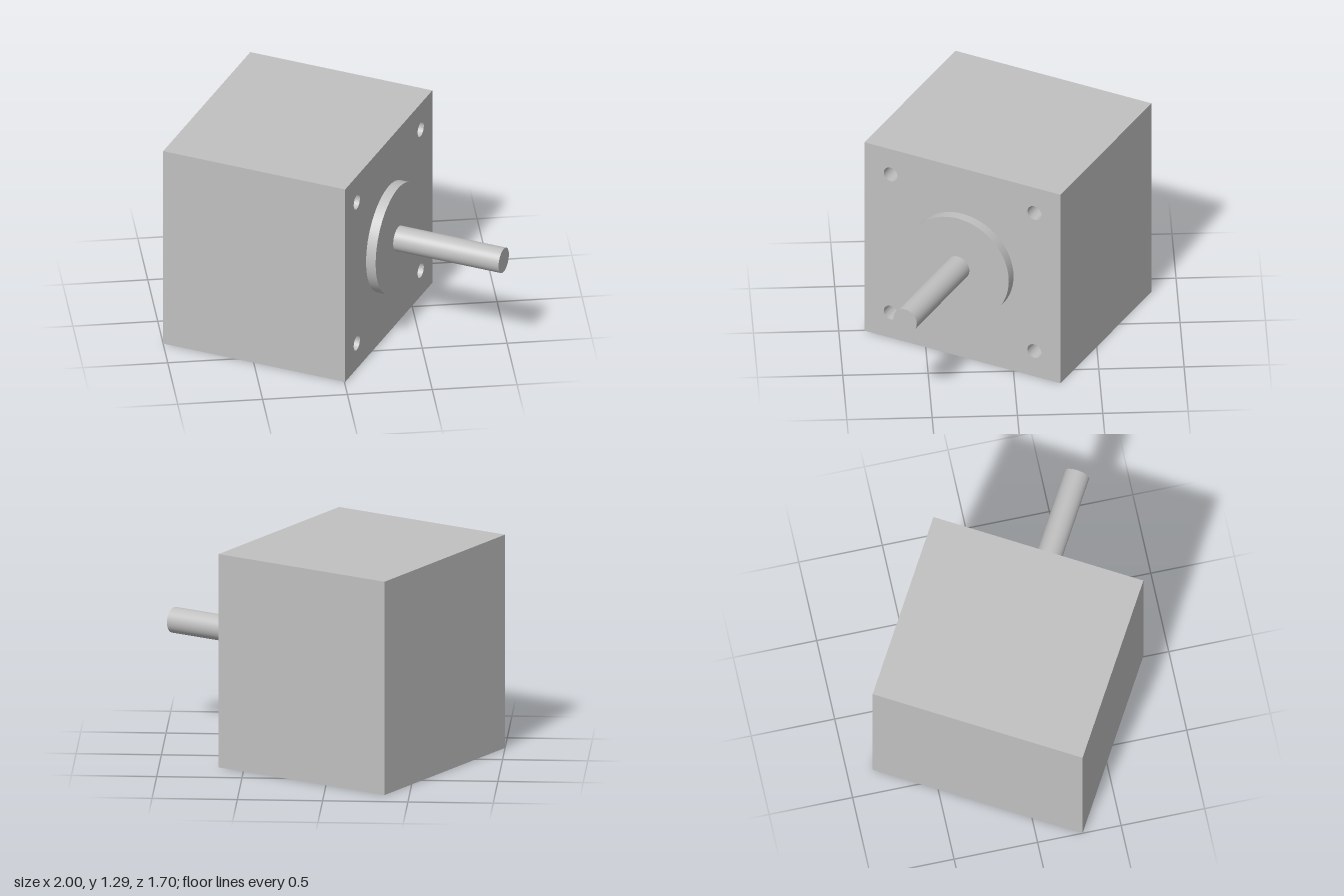
import * as THREE from 'three';
import { toCreasedNormals } from 'three/addons/utils/BufferGeometryUtils.js';

const S = 0.030526; // units per millimetre
const FACE = 42.3 * S, DEPTH = 38 * S;
const HOLE_DEPTH = 4.5 * S, HOLE_RADIUS = 1.5 * S, HOLE_OFFSET = 15.5 * S;

export function createModel() {
  const steel = new THREE.MeshStandardMaterial({ color: 0xc0c0c0 });
  steel.name = 'light grey steel';

  const model = new THREE.Group();
  model.name = 'stepperMotor';

  // The motor is built along +z, then turned about the vertical axis
  const add = (name, geometry, z) => {
    const mesh = new THREE.Mesh(geometry, steel);
    mesh.name = name;
    mesh.position.z = z;
    model.add(mesh);
  };
  const front = DEPTH / 2;

  // Solid rear of the housing
  const rearDepth = DEPTH - HOLE_DEPTH;
  add('housing', new THREE.BoxGeometry(FACE, FACE, rearDepth), -HOLE_DEPTH / 2);

  // Front plate with four blind mounting holes
  const h = FACE / 2;
  const plate = new THREE.Shape([[-h, -h], [h, -h], [h, h], [-h, h]].map(([x, y]) => new THREE.Vector2(x, y)));
  for (const sx of [-1, 1]) for (const sy of [-1, 1]) {
    const hole = new THREE.Path();
    hole.absarc(sx * HOLE_OFFSET, sy * HOLE_OFFSET, HOLE_RADIUS, 0, Math.PI * 2, true);
    plate.holes.push(hole);
  }
  const plateGeometry = new THREE.ExtrudeGeometry(plate, { depth: HOLE_DEPTH, bevelEnabled: false, curveSegments: 24 });
  add('frontPlate', toCreasedNormals(plateGeometry, 0.6), front - HOLE_DEPTH);

  // Raised pilot boss and output shaft, both starting at the front face
  const disc = (radius, length) => new THREE.CylinderGeometry(radius, radius, length, 64).rotateX(Math.PI / 2);
  add('pilotBoss', disc(11 * S, 2 * S), front + S);
  add('shaft', disc(2.5 * S, 24 * S), front + 12 * S);

  model.rotation.y = Math.PI / 3;
  model.position.set(-0.175, FACE / 2, 0);

  const root = new THREE.Group();
  root.name = 'motor';
  root.add(model);
  return root;
}
